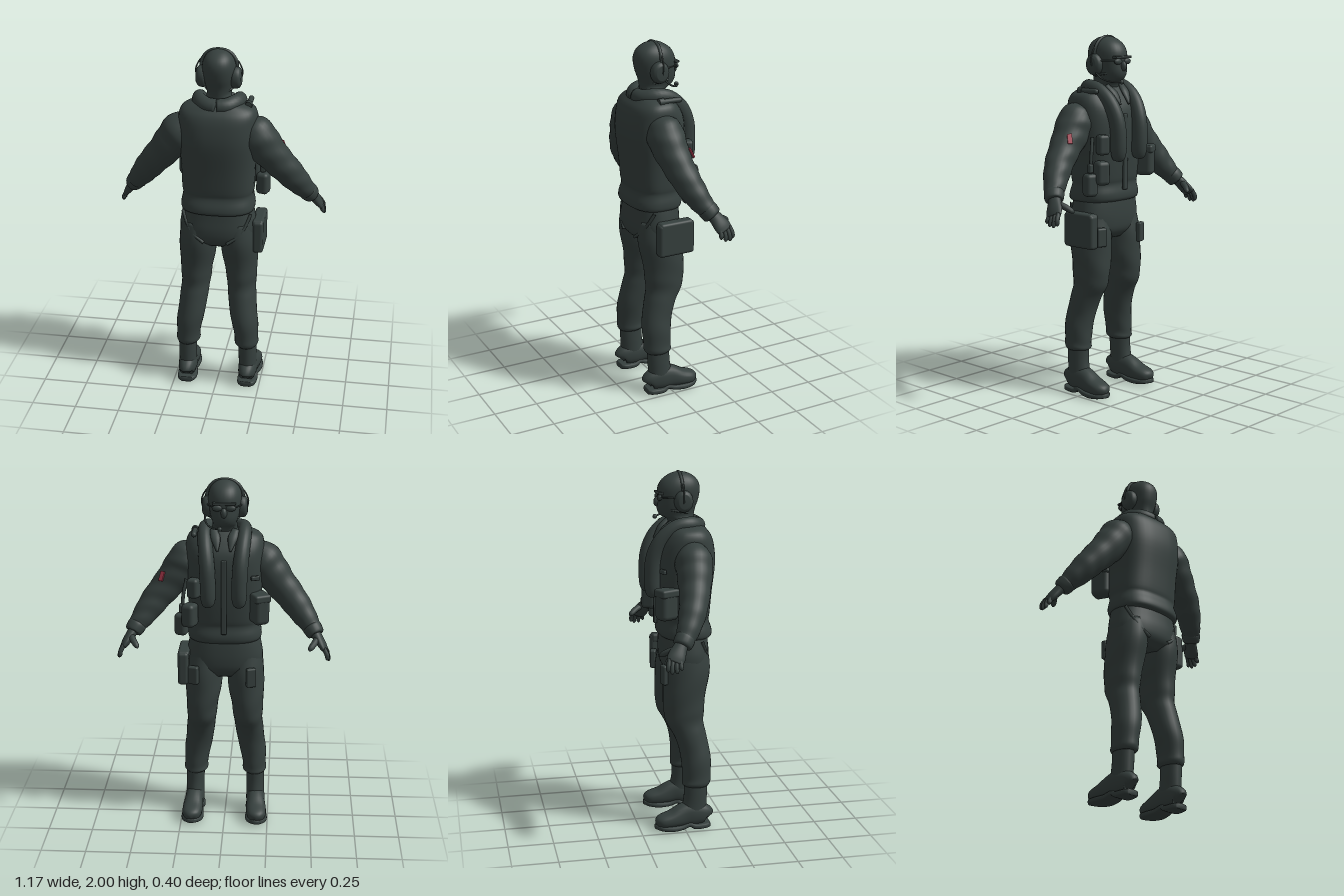
import * as THREE from 'three';
import { RoundedBoxGeometry } from 'three/addons/geometries/RoundedBoxGeometry.js';

const V = (x, y, z) => new THREE.Vector3(x, y, z);

// Smooth skin through sections [x, y, z, radiusA, radiusB]; A lies along ref, B across it.
function loft(rows, { ref = V(1, 0, 0), flat = false, n = 2, seg = 24, steps = 4, fold = 0 } = {}) {
  const path = new THREE.CatmullRomCurve3(rows.map(r => V(r[0], r[1], r[2])), false, 'catmullrom', 0.5);
  const size = new THREE.CatmullRomCurve3(rows.map(r => V(r[3], r[4], 0)), false, 'catmullrom', 0.5);
  const count = (rows.length - 1) * steps, pos = [], idx = [];
  const down = V(0, Math.sign(rows.at(-1)[1] - rows[0][1]), 0);
  const bend = v => Math.sign(v) * Math.abs(v) ** (2 / n);
  for (let i = 0; i <= count; i++) {
    const t = i / count, c = path.getPoint(t), r = size.getPoint(t);
    const T = flat ? down : path.getTangent(t);
    const U = ref.clone().addScaledVector(T, -ref.dot(T)).normalize();
    const W = T.clone().cross(U);
    for (let j = 0; j < seg; j++) {
      const a = j / seg * Math.PI * 2;
      const k = 1 + fold * Math.sin(t * 38 + 2.2 * Math.sin(a) + Math.cos(2 * a));
      const p = c.clone().addScaledVector(U, Math.max(r.x, 0.001) * k * bend(Math.cos(a)))
        .addScaledVector(W, Math.max(r.y, 0.001) * k * bend(Math.sin(a)));
      pos.push(p.x, p.y, p.z);
      if (i < count) {
        const b = i * seg + j, d = i * seg + (j + 1) % seg;
        idx.push(b, d, d + seg, b, d + seg, b + seg);
      }
    }
  }
  // end caps
  const first = path.getPoint(0), last = path.getPoint(1), m = pos.length / 3;
  pos.push(first.x, first.y, first.z, last.x, last.y, last.z);
  for (let j = 0; j < seg; j++) {
    const e = (j + 1) % seg, o = count * seg;
    idx.push(m, e, j, m + 1, o + j, o + e);
  }
  const g = new THREE.BufferGeometry();
  g.setAttribute('position', new THREE.Float32BufferAttribute(pos, 3));
  g.setIndex(idx);
  g.computeVertexNormals();
  return g;
}

// Upright body section from [y, front z, back z, half width]
const body = rows => rows.map(([y, f, b, w]) => [0, y, (f + b) / 2, w, (b - f) / 2]);

export function createModel() {
  const root = new THREE.Group();
  const cloth = new THREE.MeshStandardMaterial({ name: 'dark grey green', color: 0x36403e });
  const red = new THREE.MeshStandardMaterial({ name: 'patch red', color: 0xa03648 });
  const add = (name, geo, x = 0, y = 0, z = 0, mat = cloth) => {
    const mesh = new THREE.Mesh(geo, mat);
    mesh.name = name;
    mesh.position.set(x, y, z);
    root.add(mesh);
    return mesh;
  };
  const pouch = (name, w, h, d, x, y, z, ry = 0) => {
    add(name, new RoundedBoxGeometry(w, h, d, 3, Math.min(w, h, d) * 0.3), x, y, z).rotation.y = ry;
  };
  const tube = (name, pts, r) =>
    add(name, new THREE.TubeGeometry(new THREE.CatmullRomCurve3(pts.map(p => V(...p))), 24, r, 8));

  // Jacket and hips
  add('jacket', loft(body([
    [1.09, -0.09, 0.15, 0.18], [1.105, -0.115, 0.178, 0.202], [1.14, -0.12, 0.178, 0.204],
    [1.19, -0.11, 0.162, 0.195], [1.23, -0.118, 0.168, 0.2], [1.35, -0.13, 0.18, 0.203],
    [1.5, -0.135, 0.197, 0.213], [1.6, -0.125, 0.19, 0.214], [1.66, -0.095, 0.172, 0.21],
    [1.695, -0.07, 0.145, 0.185], [1.72, -0.05, 0.12, 0.12], [1.73, -0.03, 0.09, 0.06]]),
  { flat: true, n: 2.6, seg: 40 }));
  add('hips', loft(body([
    [1.13, -0.1, 0.155, 0.19], [1.06, -0.105, 0.16, 0.205], [0.99, -0.105, 0.165, 0.214],
    [0.93, -0.095, 0.155, 0.2], [0.885, -0.06, 0.11, 0.12]]), { flat: true, n: 2.4, seg: 36 }));

  // Head with mask, nose and glasses
  add('head', loft(body([
    [1.68, -0.04, 0.08, 0.068], [1.74, -0.06, 0.085, 0.068], [1.765, -0.1, 0.088, 0.066],
    [1.8, -0.116, 0.095, 0.076], [1.85, -0.114, 0.112, 0.086], [1.91, -0.112, 0.12, 0.09],
    [1.955, -0.088, 0.104, 0.076], [1.985, -0.045, 0.065, 0.046], [1.997, -0.01, 0.025, 0.012]]),
  { flat: true, n: 2.15, seg: 32 }));
  add('nose', new THREE.SphereGeometry(1, 16, 12), 0, 1.836, -0.113).scale.set(0.017, 0.028, 0.022);
  add('maskEdge', new THREE.TorusGeometry(0.078, 0.006, 8, 32), 0, 1.79, -0.01).rotation.x = 1.75;
  pouch('brow', 0.125, 0.014, 0.03, 0, 1.885, -0.105);
  for (const s of [-1, 1]) {
    add('glassesLens', new THREE.SphereGeometry(1, 16, 12), s * 0.036, 1.862, -0.108).scale.set(0.028, 0.017, 0.013);
    tube('glassesArm', [[s * 0.06, 1.866, -0.105], [s * 0.084, 1.866, -0.06], [s * 0.095, 1.862, 0]], 0.004);
  }

  // Headset
  tube('headband', [[-0.1, 1.87, 0.01], [-0.092, 1.94, 0.008], [-0.055, 1.985, 0.005], [0, 1.998, 0.005],
    [0.055, 1.985, 0.005], [0.092, 1.94, 0.008], [0.1, 1.87, 0.01]], 0.009).scale.y = 0.998;
  for (const s of [-1, 1]) {
    add('earCup', loft([[s * 0.07, 1.845, 0.015, 0.045, 0.05], [s * 0.082, 1.845, 0.015, 0.052, 0.06],
      [s * 0.108, 1.845, 0.015, 0.048, 0.056], [s * 0.122, 1.845, 0.015, 0.03, 0.038]], { ref: V(0, 0, 1) }));
    tube('headsetWire', [[s * 0.118, 1.83, 0.01], [s * 0.126, 1.88, 0.01], [s * 0.108, 1.925, 0.008], [s * 0.09, 1.945, 0.006]], 0.004);
  }
  tube('microphoneBoom', [[0.108, 1.81, 0], [0.1, 1.77, -0.05], [0.065, 1.752, -0.1], [0.025, 1.752, -0.125]], 0.005);
  add('microphone', new THREE.SphereGeometry(0.013, 12, 10), 0.022, 1.752, -0.123);

  for (const s of [-1, 1]) {
    // Inflatable collar running round the neck and down the chest
    add('lifeVestLobe', loft([
      [0, 1.712, 0.112, 0.04, 0.034], [s * 0.06, 1.716, 0.1, 0.041, 0.034], [s * 0.104, 1.722, 0.045, 0.042, 0.036],
      [s * 0.108, 1.705, -0.03, 0.044, 0.038], [s * 0.1, 1.64, -0.105, 0.046, 0.04], [s * 0.09, 1.55, -0.148, 0.046, 0.042],
      [s * 0.085, 1.45, -0.158, 0.046, 0.042], [s * 0.084, 1.37, -0.156, 0.044, 0.04], [s * 0.084, 1.335, -0.15, 0.03, 0.028],
      [s * 0.084, 1.325, -0.148, 0.004, 0.004]], { ref: V(0, 1, -1) }));
    add('shirtCollar', loft([[s * 0.06, 1.73, -0.045, 0.02, 0.012], [s * 0.045, 1.69, -0.09, 0.026, 0.012],
      [s * 0.035, 1.63, -0.125, 0.006, 0.008]], { seg: 12 }));

    // Sleeves with soft folds, then cuffs
    add('sleeve', loft([
      [s * 0.15, 1.585, 0.045, 0.07, 0.075], [s * 0.2, 1.545, 0.045, 0.1, 0.104], [s * 0.25, 1.48, 0.04, 0.097, 0.1],
      [s * 0.31, 1.405, 0.028, 0.086, 0.088], [s * 0.37, 1.335, 0.01, 0.078, 0.08], [s * 0.42, 1.27, -0.015, 0.07, 0.072],
      [s * 0.465, 1.21, -0.045, 0.058, 0.058], [s * 0.495, 1.17, -0.07, 0.046, 0.046]],
    { ref: V(0, 0, 1), seg: 28, steps: 7, fold: 0.02 }));
    add('cuff', loft([[s * 0.478, 1.193, -0.056, 0.05, 0.05], [s * 0.485, 1.183, -0.063, 0.055, 0.053],
      [s * 0.503, 1.158, -0.079, 0.051, 0.048], [s * 0.507, 1.152, -0.083, 0.04, 0.036]], { ref: V(0, 0, 1) }));

    // Gloved hand
    add('palm', loft([[s * 0.495, 1.17, -0.075, 0.034, 0.03], [s * 0.516, 1.14, -0.097, 0.04, 0.027],
      [s * 0.54, 1.105, -0.118, 0.048, 0.023], [s * 0.556, 1.08, -0.132, 0.045, 0.016]], { ref: V(0, 0, 1) }));
    const fingers = [[-0.168, 1.036, 0.568], [-0.148, 1.026, 0.575], [-0.122, 1.028, 0.576], [-0.097, 1.042, 0.572]];
    fingers.forEach(([z, y, x], i) => {
      const bz = -0.158 + i * 0.02;
      add('finger', loft([[s * 0.548, 1.1, bz, 0.011, 0.013], [s * 0.566, 1.065, (bz + z) / 2 - 0.003, 0.0125, 0.0135],
        [s * x, y + 0.008, z, 0.0105, 0.011], [s * x, y - 0.002, z, 0.003, 0.003]], { ref: V(0, 0, 1), seg: 10 }));
    });
    add('thumb', loft([[s * 0.515, 1.145, -0.11, 0.016, 0.018], [s * 0.495, 1.125, -0.152, 0.017, 0.018],
      [s * 0.475, 1.105, -0.182, 0.014, 0.015], [s * 0.468, 1.096, -0.195, 0.003, 0.003]], { ref: V(0, 1, 0), seg: 12 }));

    // Trousers
    add('trouserLeg', loft([
      [s * 0.11, 1.03, 0.03, 0.095, 0.115], [s * 0.116, 0.92, 0.028, 0.104, 0.13], [s * 0.121, 0.8, 0.012, 0.1, 0.122],
      [s * 0.129, 0.7, 0.008, 0.089, 0.115], [s * 0.131, 0.63, 0.01, 0.083, 0.108], [s * 0.138, 0.56, 0.034, 0.08, 0.094],
      [s * 0.148, 0.47, 0.062, 0.079, 0.086], [s * 0.162, 0.38, 0.072, 0.074, 0.084], [s * 0.169, 0.3, 0.072, 0.067, 0.08],
      [s * 0.17, 0.265, 0.07, 0.068, 0.08], [s * 0.172, 0.25, 0.07, 0.055, 0.068]],
    { flat: true, seg: 28, steps: 6, fold: 0.012 }));

    // Boots and soles
    add('bootShaft', loft([[s * 0.174, 0.28, 0.068, 0.052, 0.068], [s * 0.175, 0.2, 0.066, 0.052, 0.066],
      [s * 0.176, 0.14, 0.06, 0.051, 0.069], [s * 0.177, 0.08, 0.05, 0.052, 0.075]], { flat: true }));
    add('bootFoot', loft([
      [s * 0.175, 0.06, 0.138, 0.02, 0.03], [s * 0.176, 0.075, 0.122, 0.044, 0.054], [s * 0.177, 0.085, 0.06, 0.054, 0.072],
      [s * 0.18, 0.08, 0, 0.053, 0.068], [s * 0.184, 0.062, -0.07, 0.058, 0.048], [s * 0.188, 0.052, -0.128, 0.052, 0.038],
      [s * 0.19, 0.046, -0.155, 0.032, 0.027], [s * 0.19, 0.042, -0.166, 0.004, 0.004]], { n: 2.3 }));
    add('sole', loft([
      [s * 0.175, 0.016, 0.145, 0.034, 0.015], [s * 0.176, 0.016, 0.12, 0.052, 0.016], [s * 0.178, 0.016, 0.06, 0.058, 0.016],
      [s * 0.18, 0.03, 0.025, 0.052, 0.014], [s * 0.182, 0.018, -0.02, 0.057, 0.015], [s * 0.185, 0.016, -0.08, 0.064, 0.016],
      [s * 0.188, 0.02, -0.135, 0.052, 0.014], [s * 0.19, 0.025, -0.168, 0.018, 0.012]], { n: 4 }));

    // Harness strap across the seat
    tube('harnessStrap', [1.09, 1.03, 0.97, 0.925].map((y, i) => {
      const x = [0.19, 0.165, 0.125, 0.065][i];
      return [s * x, y, 0.028 + 0.134 * (1 - (x / 0.209) ** 2.4) ** (1 / 2.4)];
    }), 0.009);
  }

  // Thigh pouches
  pouch('largeThighPouch', 0.06, 0.19, 0.215, 0.228, 0.945, -0.01);
  pouch('thighPouchFlap', 0.064, 0.05, 0.2, 0.226, 1.02, -0.01);
  pouch('smallThighPouch', 0.06, 0.105, 0.035, 0.17, 0.91, -0.108, -0.3);
  pouch('thighPocket', 0.055, 0.11, 0.03, -0.15, 0.9, -0.108, 0.3);

  // Chest and waist pouches
  pouch('sidePouch', 0.09, 0.16, 0.11, -0.192, 1.3, -0.1, 0.45);
  pouch('sidePouchFlap', 0.095, 0.045, 0.115, -0.193, 1.37, -0.1, 0.45);
  pouch('chestTab', 0.05, 0.025, 0.02, -0.17, 1.48, -0.115, 0.35);
  pouch('upperChestPouch', 0.065, 0.11, 0.06, 0.165, 1.42, -0.115, -0.4);
  pouch('lowerChestPouch', 0.075, 0.13, 0.085, 0.185, 1.27, -0.125, -0.45);
  pouch('hangingPouch', 0.07, 0.125, 0.07, 0.234, 1.205, -0.085, -0.3);
  pouch('pouchBuckle', 0.03, 0.05, 0.03, 0.232, 1.295, -0.085);
  tube('hangingStrap', [[0.205, 1.46, -0.075], [0.222, 1.38, -0.085], [0.232, 1.26, -0.085]], 0.01);
  pouch('zipFlap', 0.03, 0.42, 0.02, 0, 1.37, -0.128);

  // Shoulder lamp
  add('shoulderLamp', new THREE.CapsuleGeometry(0.015, 0.1, 6, 12), 0.165, 1.705, -0.015).rotation.x = Math.PI / 2;
  add('shoulderLampHead', new THREE.CylinderGeometry(0.02, 0.02, 0.03, 16), 0.165, 1.705, 0.045).rotation.x = Math.PI / 2;

  // Sleeve patch
  const patch = add('sleevePatch', new THREE.BoxGeometry(0.026, 0.055, 0.008), 0.344, 1.462, -0.042, red);
  patch.lookAt(0.344 + 0.5, 1.462 + 0.45, -0.042 - 0.74);
  return root;
}
